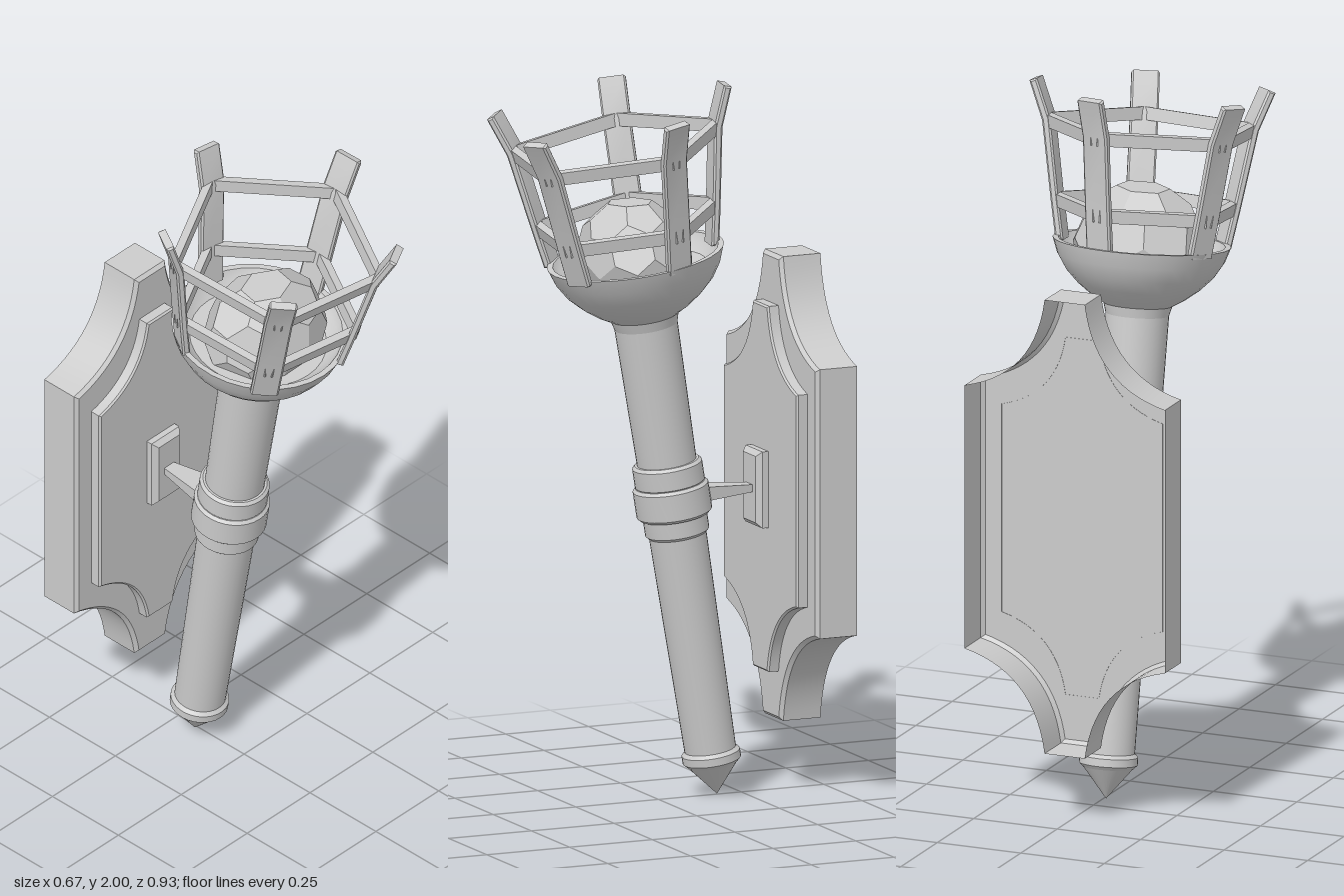
import * as THREE from 'three';
import { toCreasedNormals } from 'three/addons/utils/BufferGeometryUtils.js';
import { ConvexGeometry } from 'three/addons/geometries/ConvexGeometry.js';

const CX = -0.007; // the cage overhangs unevenly, so the axis sits just off centre
const grey = new THREE.MeshStandardMaterial({ color: 0xcccccc });
const open = new THREE.MeshStandardMaterial({ color: 0xcccccc, side: THREE.DoubleSide });
const faceted = new THREE.MeshStandardMaterial({ color: 0xcccccc, flatShading: true });

function part(name, geometry, parent, material = grey) {
  const mesh = new THREE.Mesh(geometry, material);
  mesh.name = name;
  parent.add(mesh);
  return mesh;
}

// Turned part from [radius, height] pairs, listed bottom to top
function turned(pairs) {
  const points = pairs.map(([r, y]) => new THREE.Vector2(r, y));
  return toCreasedNormals(new THREE.LatheGeometry(points, 32), 0.5);
}

// Ring with small chamfers
function ring(r, y0, y1, c = 0.008) {
  return turned([[0, y0], [r - c, y0], [r, y0 + c], [r, y1 - c], [r - c, y1], [0, y1]]);
}

// Chamfered extrusion whose straight walls run from z = 0 to depth
function chamfered(shape, depth, bevel) {
  return new THREE.ExtrudeGeometry(shape, {
    depth, bevelEnabled: true, bevelThickness: bevel,
    bevelSize: bevel, bevelOffset: -bevel, bevelSegments: 1, curveSegments: 14,
  });
}

// Hollow tray: chamfered front and side walls from z = 0 to depth, open at the back
function tray(shape, depth, bevel) {
  const p = chamfered(shape, depth - bevel, bevel).attributes.position;
  const kept = [];
  for (let i = 0; i < p.count; i += 3) {
    const corners = [i, i + 1, i + 2];
    if (corners.every((c) => p.getZ(c) < 1e-6)) continue;
    for (const c of corners) kept.push(p.getX(c), p.getY(c), p.getZ(c));
  }
  const geo = new THREE.BufferGeometry();
  geo.setAttribute('position', new THREE.Float32BufferAttribute(kept, 3));
  return toCreasedNormals(geo, 0.4);
}

// Shield outline: straight sides, four concave corners, short flat ends
function shieldShape(halfW, sideY, endW, endY, ctrlX, ctrlY) {
  const s = new THREE.Shape();
  s.moveTo(halfW, -sideY);
  s.lineTo(halfW, sideY);
  s.quadraticCurveTo(ctrlX, ctrlY, endW, endY);
  s.lineTo(-endW, endY);
  s.quadraticCurveTo(-ctrlX, ctrlY, -halfW, sideY);
  s.lineTo(-halfW, -sideY);
  s.quadraticCurveTo(-ctrlX, -ctrlY, -endW, -endY);
  s.lineTo(endW, -endY);
  s.quadraticCurveTo(ctrlX, -ctrlY, halfW, -sideY);
  return s;
}

function buildMount(parent) {
  const mount = new THREE.Group();
  mount.name = 'wallMount';
  mount.position.set(CX, 0.85, 0);
  parent.add(mount);

  const back = shieldShape(0.3, 0.377, 0.06, 0.65, 0.09, 0.425);
  part('backPlate', tray(back, 0.122, 0.01), mount, open).position.z = -0.465;
  const panel = shieldShape(0.241, 0.298, 0.05, 0.512, 0.075, 0.34);
  part('raisedPanel', tray(panel, 0.034, 0.005), mount, open).position.z = -0.344;

  // Small chamfered pad behind the arm
  const pad = new THREE.Shape();
  pad.moveTo(-0.055, -0.107).lineTo(0.055, -0.107).lineTo(0.055, 0.107).lineTo(-0.055, 0.107).closePath();
  part('armPad', tray(pad, 0.035, 0.014), mount, open).position.z = -0.313;

  // Arm widening from the pad to the torch
  const arm = new THREE.BoxGeometry(1, 1, 0.2);
  const p = arm.attributes.position;
  for (let i = 0; i < p.count; i++) {
    const nearTorch = p.getZ(i) > 0;
    p.setX(i, p.getX(i) * (nearTorch ? 0.1 : 0.036));
    p.setY(i, p.getY(i) * (nearTorch ? 0.045 : 0.02));
  }
  arm.computeVertexNormals();
  part('arm', arm, mount).position.z = -0.185;
}

function buildCage(torch) {
  const cage = new THREE.Group();
  cage.name = 'cage';
  cage.position.set(-0.003, 0, 0.013);
  torch.add(cage);

  // Side profile of one upright, flaring out at its top
  const outer = [[0.244, 1.535], [0.264, 1.64], [0.303, 1.86], [0.346, 1.967]];
  const inner = [[0.325, 1.975], [0.281, 1.867], [0.242, 1.64], [0.222, 1.535]];
  const profile = new THREE.Shape([...outer, ...inner].map(([x, y]) => new THREE.Vector2(x, y)));
  const width = 0.078, bevel = 0.005;
  const barGeo = toCreasedNormals(chamfered(profile, width - 2 * bevel, bevel), 0.4);
  barGeo.translate(0, 0, bevel - width / 2);

  const step = Math.PI * 2 / 5;
  for (let i = 0; i < 5; i++) {
    const angle = Math.PI / 2 - (0.148 + i * step);
    part('cageBar', barGeo, cage).rotation.y = angle;

    // Two straight rails reach across to the next upright
    const side = new THREE.Group();
    side.name = 'cageRails';
    side.rotation.y = angle - step / 2;
    cage.add(side);
    for (const [r, y] of [[0.26, 1.643], [0.298, 1.86]]) {
      const geo = new THREE.BoxGeometry(0.022, 0.036, 2 * (r - 0.008) * Math.sin(step / 2));
      const rail = part('rail', geo, side);
      rail.position.set(r * Math.cos(step / 2), y, 0);
      rail.rotation.z = -0.14;
    }
  }
}

// Lump of pentagons and hexagons: the corners of an icosahedron sliced off
function coalGeometry(radius) {
  const p = new THREE.IcosahedronGeometry(1, 0).attributes.position;
  const points = [];
  const at = (i) => new THREE.Vector3().fromBufferAttribute(p, i);
  for (let f = 0; f < p.count; f += 3) {
    for (let k = 0; k < 3; k++) {
      const a = at(f + k), b = at(f + (k + 1) % 3);
      points.push(a.lerp(b, 1 / 3).setLength(radius));
    }
  }
  return new ConvexGeometry(points);
}

function buildTorch(parent) {
  // Local y runs along the handle from its tip, leaning forward
  const torch = new THREE.Group();
  torch.name = 'torch';
  torch.position.set(CX, 0, -0.18);
  torch.rotation.x = 0.16;
  parent.add(torch);

  part('tip', turned([[0, 0], [0.07, 0.088], [0.07, 0.1]]), torch);
  part('tipRing', ring(0.081, 0.088, 0.13, 0.01), torch);
  part('handle', turned([[0.071, 0.11], [0.088, 1.37]]), torch);
  part('lowerCollar', ring(0.089, 0.747, 0.81), torch);
  part('middleCollar', ring(0.105, 0.802, 0.892), torch);
  part('upperCollar', ring(0.097, 0.887, 0.956), torch);

  // Bowl flaring out of the handle, thin rim around a shallow bed
  part('bowl', turned([
    [0.087, 1.345], [0.095, 1.375], [0.13, 1.396], [0.17, 1.427], [0.205, 1.463], [0.231, 1.505],
    [0.246, 1.548], [0.23, 1.548], [0.218, 1.525], [0.19, 1.505], [0, 1.505],
  ]), torch);

  // Flattened front to back
  const geo = coalGeometry(0.18);
  geo.rotateX(0.25).rotateY(0.4);
  geo.scale(1.05, 0.98, 0.86);
  part('coal', geo, torch, faceted).position.set(0.012, 1.54, 0.01);

  buildCage(torch);
}

export function createModel() {
  const model = new THREE.Group();
  model.name = 'wallTorch';
  buildMount(model);
  buildTorch(model);
  return model;
}
